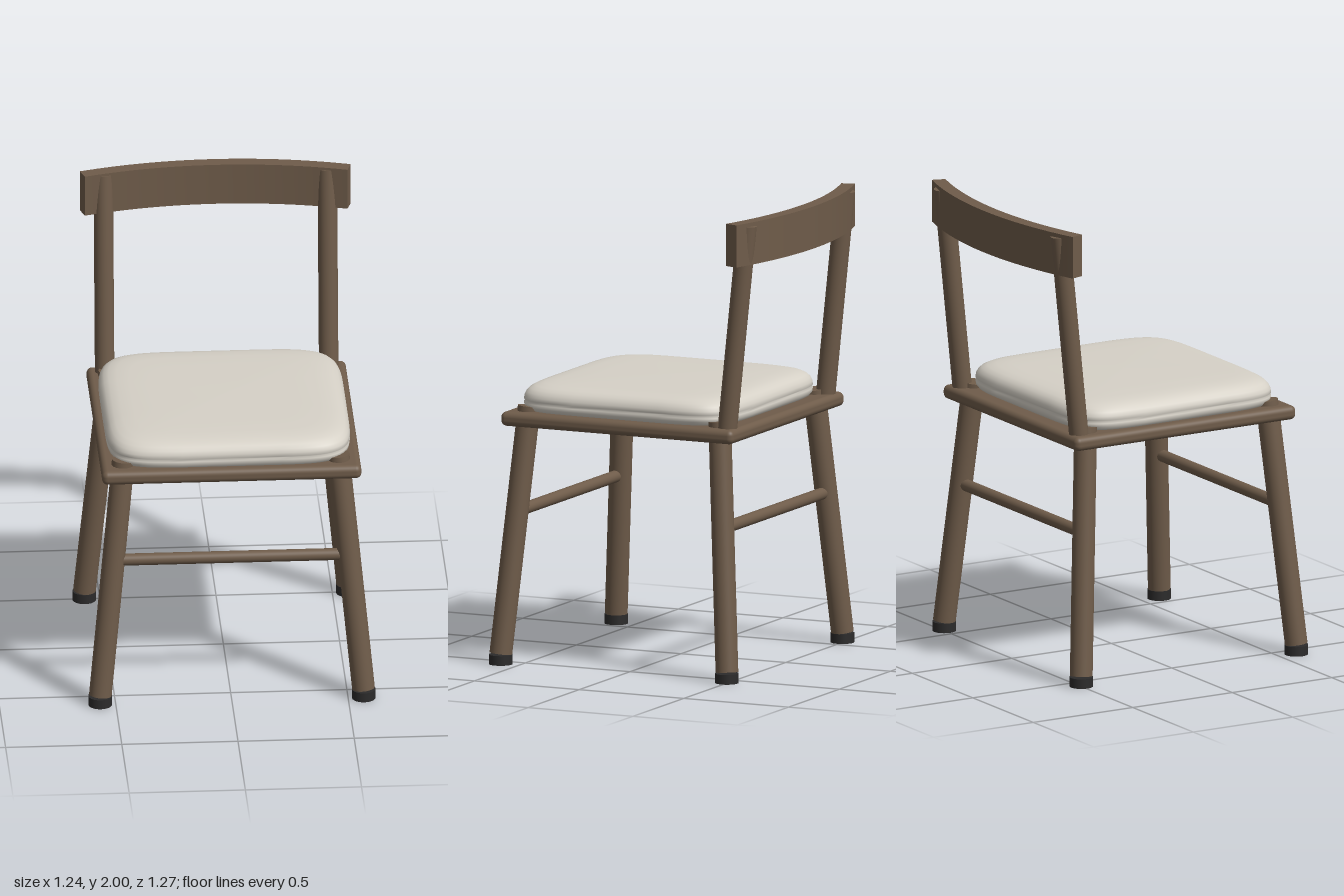
import * as THREE from 'three';
import { RoundedBoxGeometry } from 'three/addons/geometries/RoundedBoxGeometry.js';
import { toCreasedNormals } from 'three/addons/utils/BufferGeometryUtils.js';

const wood = new THREE.MeshStandardMaterial({ color: 0x6f5c4a });
wood.name = 'walnut wood';
const fabric = new THREE.MeshStandardMaterial({ color: 0xd6d1c7 });
fabric.name = 'cream fabric';
const rubber = new THREE.MeshStandardMaterial({ color: 0x2c2b2b });
rubber.name = 'dark rubber';

function add(group, name, geometry, material) {
  const mesh = new THREE.Mesh(geometry, material);
  mesh.name = name;
  group.add(mesh);
  return mesh;
}

// Round bar between two points
function rod(group, name, from, to, radius) {
  const a = new THREE.Vector3(...from);
  const b = new THREE.Vector3(...to);
  const mesh = add(group, name, new THREE.CylinderGeometry(radius, radius, a.distanceTo(b), 32), wood);
  mesh.position.copy(a).add(b).multiplyScalar(0.5);
  mesh.quaternion.setFromUnitVectors(new THREE.Vector3(0, 1, 0), b.sub(a).normalize());
  return mesh;
}

// Soft pad: rounded-square rings stacked along a side profile of [inset, height]
function cushionGeometry(halfX, halfZ) {
  const profile = [
    [0.525, 1.09], [0.03, 1.09], [0.012, 1.098], [0.002, 1.112], [0, 1.128], [0.007, 1.135], [0, 1.142],
    [0.002, 1.158], [0.009, 1.174], [0.022, 1.188], [0.042, 1.199], [0.075, 1.207],
    [0.13, 1.212], [0.25, 1.215], [0.525, 1.216],
  ];
  const sides = 96, power = 2 / 6;
  const positions = [], index = [];
  const curve = (v) => Math.sign(v) * Math.pow(Math.abs(v), power);
  for (const [inset, y] of profile) {
    const scale = 1 - inset / 0.525;
    for (let i = 0; i < sides; i++) {
      const t = (i / sides) * Math.PI * 2;
      positions.push(halfX * scale * curve(Math.cos(t)), y, halfZ * scale * curve(Math.sin(t)));
    }
  }
  for (let r = 0; r < profile.length - 1; r++) {
    for (let i = 0; i < sides; i++) {
      const a = r * sides + i, b = r * sides + (i + 1) % sides;
      const c = a + sides, d = b + sides;
      if (r > 0) index.push(a, c, b);
      if (r < profile.length - 2) index.push(b, c, d);
    }
  }
  // Close the flat underside
  for (let i = 0; i < sides; i++) index.push(i, sides + i, sides + (i + 1) % sides);
  const geometry = new THREE.BufferGeometry();
  geometry.setAttribute('position', new THREE.Float32BufferAttribute(positions, 3));
  geometry.setIndex(index);
  geometry.computeVertexNormals();
  return geometry;
}

// Curved rail: an arc band seen from above, extruded upward
function railGeometry() {
  const outer = 1.947, inner = 1.887, spread = 0.304;
  const shape = new THREE.Shape();
  shape.absarc(0, 0, outer, Math.PI / 2 - spread, Math.PI / 2 + spread, false);
  shape.absarc(0, 0, inner, Math.PI / 2 + spread, Math.PI / 2 - spread, true);
  const geometry = new THREE.ExtrudeGeometry(shape, { depth: 0.184, bevelEnabled: false, curveSegments: 40 });
  geometry.rotateX(-Math.PI / 2);
  geometry.translate(0, 1.816, outer - 0.637);
  return toCreasedNormals(geometry, 0.5);
}

export function createModel() {
  const chair = new THREE.Group();
  chair.name = 'chair';

  // Seat board and pad
  const seat = add(chair, 'seat', new RoundedBoxGeometry(1.116, 0.062, 1.11, 5, 0.025), wood);
  seat.position.set(0, 1.065, 0.041);
  const cushion = add(chair, 'cushion', cushionGeometry(0.526, 0.51), fabric);
  cushion.position.z = 0.06;

  // Splayed legs whose tops show through the seat, with rubber feet
  const rows = [
    { label: 'front', low: 0.585, high: 0.5, stretcher: 0.538 },
    { label: 'back', low: -0.495, high: -0.41, stretcher: -0.448 },
  ];
  for (const { label, low, high, stretcher } of rows) {
    for (const [sideName, s] of [['Left', 1], ['Right', -1]]) {
      rod(chair, label + sideName + 'Leg', [s * 0.566, 0.046, low], [s * 0.462, 1.115, high], 0.049);
      const foot = add(chair, label + sideName + 'Foot', new THREE.CylinderGeometry(0.051, 0.051, 0.042, 32), rubber);
      foot.position.set(s * 0.567, 0.021, low);
    }
    rod(chair, label + 'Stretcher', [-0.507, 0.66, stretcher], [0.507, 0.66, stretcher], 0.026);
  }

  // Backrest
  for (const [sideName, s] of [['left', 1], ['right', -1]]) {
    rod(chair, sideName + 'BackPost', [s * 0.482, 1.05, -0.452], [s * 0.482, 1.985, -0.55], 0.042);
  }
  add(chair, 'backRail', railGeometry(), wood);

  return chair;
}
